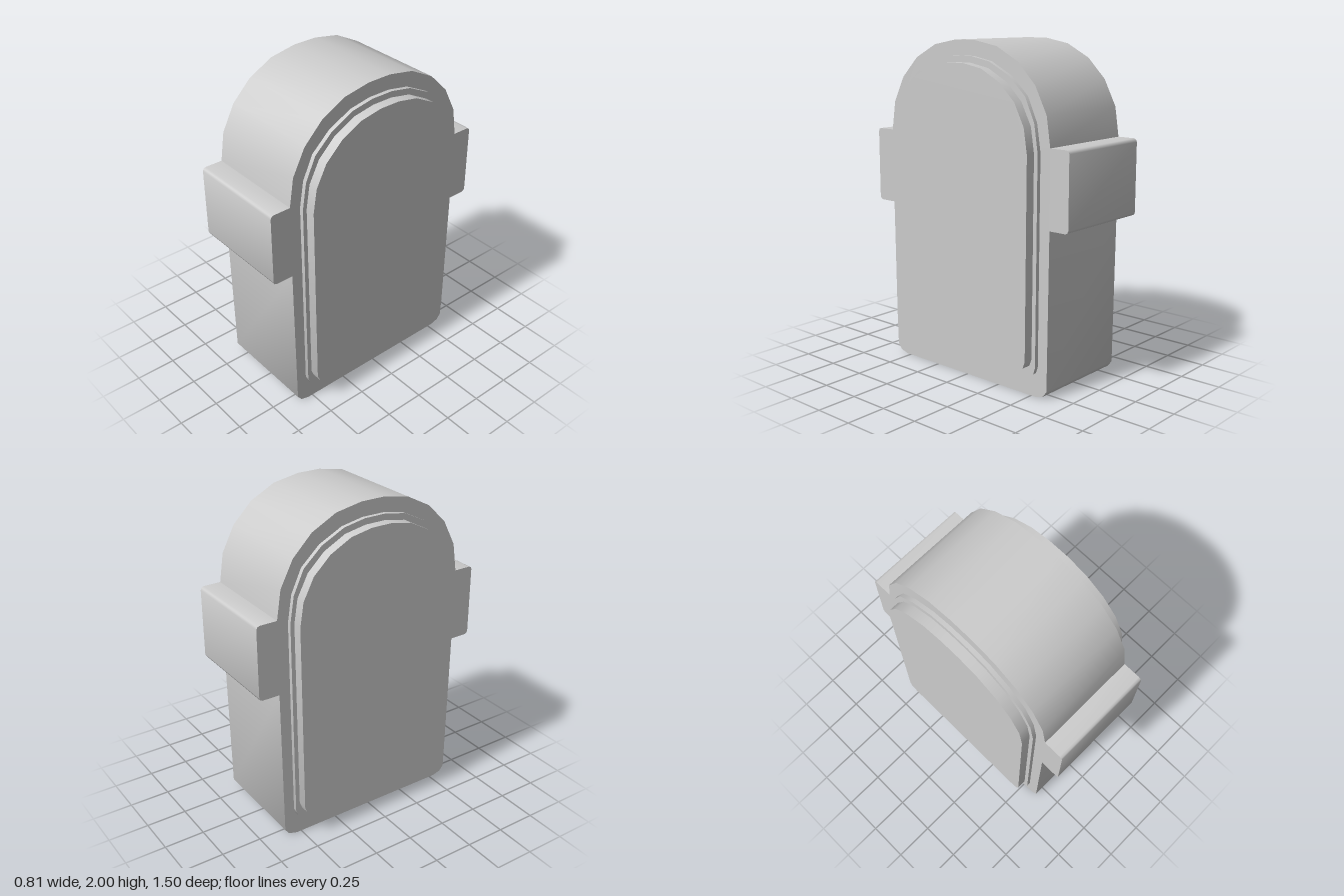
import * as THREE from 'three';
import { toCreasedNormals } from 'three/addons/utils/BufferGeometryUtils.js';

const material = new THREE.MeshStandardMaterial({ color: 0xcccccc });

// Mirrors a half profile of [z, y] points (top to bottom) and extrudes it across x.
function slab(name, half, halfWidth) {
  const mirrored = half.map(([z, y]) => [-z, y]).reverse();
  const points = [...half, ...mirrored].map(([z, y]) => new THREE.Vector2(z, y));
  const geometry = new THREE.ExtrudeGeometry(new THREE.Shape(points), {
    depth: halfWidth * 2,
    bevelEnabled: false,
  });
  geometry.translate(0, 0, -halfWidth);
  geometry.rotateY(Math.PI / 2);
  const mesh = new THREE.Mesh(toCreasedNormals(geometry, 0.9), material);
  mesh.name = name;
  return mesh;
}

export function createModel() {
  const group = new THREE.Group();
  group.name = 'archedCase';

  // Arched body with a rounded block on the front and back
  group.add(slab('body', [
    [0.075, 2], [0.24, 1.97], [0.395, 1.89], [0.515, 1.77], [0.595, 1.615], [0.622, 1.44],
    [0.73, 1.44], [0.744, 1.434], [0.75, 1.42],
    [0.75, 1.005], [0.744, 0.991], [0.73, 0.985], [0.622, 0.985],
    [0.612, 0.05], [0.585, 0.015], [0.53, 0],
  ], 0.32));

  // Thin stepped rim showing on both sides
  group.add(slab('sideRim', [
    [0.07, 1.912], [0.205, 1.887], [0.35, 1.815], [0.465, 1.71], [0.53, 1.57], [0.555, 1.41],
    [0.548, 0.185], [0.535, 0.145], [0.49, 0.125],
  ], 0.345));

  // Raised panels on both sides
  group.add(slab('sidePanel', [
    [0.065, 1.875], [0.2, 1.85], [0.335, 1.78], [0.44, 1.68], [0.507, 1.55], [0.53, 1.405],
    [0.522, 0.23], [0.507, 0.19], [0.455, 0.175],
  ], 0.405));

  return group;
}
